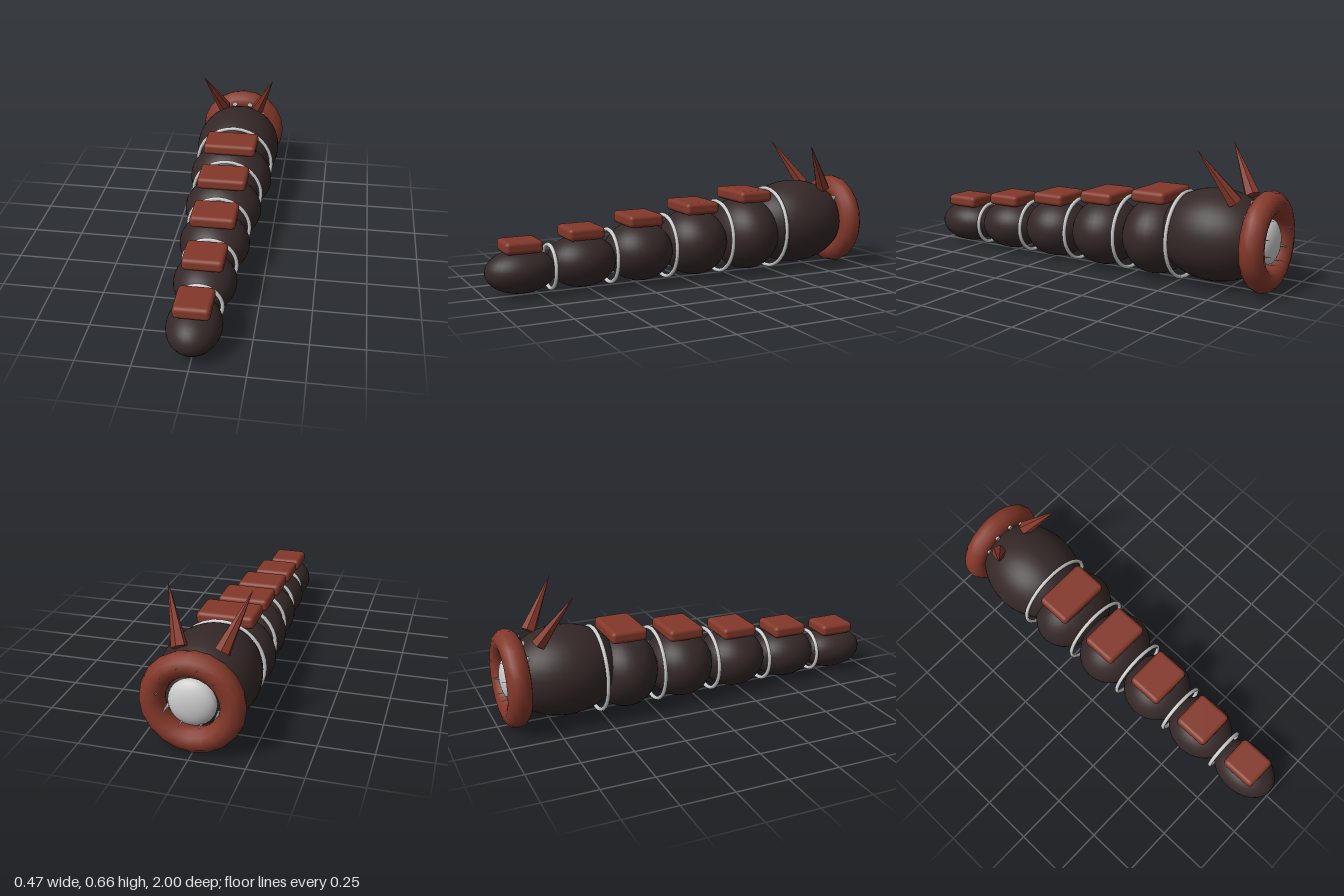
import * as THREE from 'three';
import { RoundedBoxGeometry } from 'three/addons/geometries/RoundedBoxGeometry.js';

export function createModel() {
  const model = new THREE.Group();
  const hide = new THREE.MeshStandardMaterial({ color: 0x342827 });
  const rust = new THREE.MeshStandardMaterial({ color: 0x84382a });
  const hornRust = new THREE.MeshStandardMaterial({ color: 0x84382a, flatShading: true });
  const grey = new THREE.MeshStandardMaterial({ color: 0xcccccc });

  const add = (name, geometry, material, x, y, z) => {
    const mesh = new THREE.Mesh(geometry, material);
    mesh.name = name;
    mesh.position.set(x, y, z);
    model.add(mesh);
    return mesh;
  };
  const ellipsoid = (rx, ry, rz) => new THREE.SphereGeometry(1, 32, 20).scale(rx, ry, rz);

  // Body segments growing towards the head, each with a back plate and a joint ring
  for (let i = 0; i < 5; i++) {
    const z = 0.83 - 0.3 * i;
    const ry = 0.105 + 0.021 * i;
    add('bodySegment', ellipsoid(0.125 + 0.0235 * i, ry, 0.17), hide, 0, 0.015 + ry, z);
    add('backPlate', new RoundedBoxGeometry(0.166 + 0.027 * i, 0.06, 0.18, 3, 0.02),
      rust, 0, 0.241 + 0.041 * i, z);
    add('jointRing', new THREE.TorusGeometry(0.104 + 0.0252 * i, 0.01, 8, 32),
      grey, 0, 0.127 + 0.0238 * i, z - 0.14);
  }

  // Head with mouth rim and pale throat
  add('head', ellipsoid(0.228, 0.217, 0.28), hide, 0, 0.243, -0.67);
  add('mouthRim', new THREE.TorusGeometry(0.178, 0.057, 12, 20).rotateZ(Math.PI / 2),
    rust, 0, 0.24, -0.921);
  add('throat', ellipsoid(0.108, 0.108, 0.052), grey, 0, 0.24, -0.92);

  // Ring of teeth pointing backwards out of the mouth
  for (let i = 0; i < 10; i++) {
    const a = (i / 10) * Math.PI * 2;
    add('tooth', new THREE.ConeGeometry(0.013, 0.14, 6).rotateX(-Math.PI / 2),
      grey, 0.14 * Math.cos(a), 0.285 + 0.14 * Math.sin(a), -0.927);
  }

  // Pair of horns leaning outwards and forwards
  for (const side of [1, -1]) {
    const base = new THREE.Vector3(0.095 * side, 0.425, -0.8);
    const tip = new THREE.Vector3(0.19 * side, 0.66, -0.655);
    const axis = tip.clone().sub(base);
    const length = axis.length();
    const horn = add(side > 0 ? 'leftHorn' : 'rightHorn',
      new THREE.ConeGeometry(0.037, length, 6).translate(0, length / 2, 0),
      hornRust, base.x, base.y, base.z);
    horn.quaternion.setFromUnitVectors(new THREE.Vector3(0, 1, 0), axis.normalize());
  }

  return model;
}
